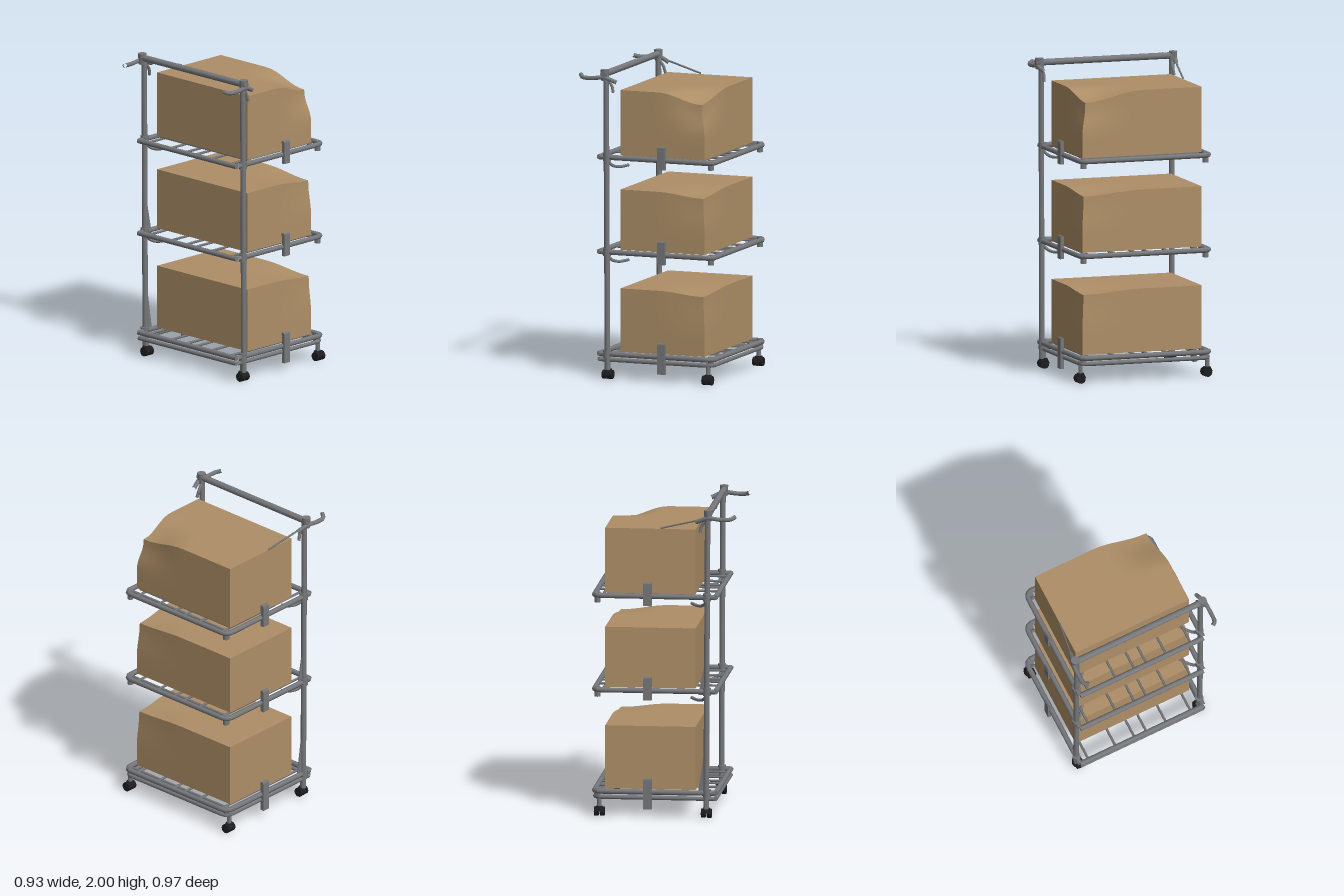
import * as THREE from 'three';

const metal = new THREE.MeshStandardMaterial({ color: 0x77787b });
metal.name = 'greyMetal';
const card = new THREE.MeshStandardMaterial({ color: 0xae8f67 });
card.name = 'cardboard';
const rubber = new THREE.MeshStandardMaterial({ color: 0x1e1e20 });
rubber.name = 'blackRubber';

const V = (x, y, z) => new THREE.Vector3(x, y, z);

function add(parent, name, geo, mat, x = 0, y = 0, z = 0) {
  const m = new THREE.Mesh(geo, mat);
  m.name = name;
  m.position.set(x, y, z);
  parent.add(m);
  return m;
}

// Straight round rod between two points
function rod(parent, name, a, b, r, sides = 10) {
  const m = add(parent, name, new THREE.CylinderGeometry(r, r, a.distanceTo(b), sides), metal);
  m.position.copy(a).add(b).multiplyScalar(0.5);
  m.quaternion.setFromUnitVectors(V(0, 1, 0), b.clone().sub(a).normalize());
  return m;
}

// Bent round rod through a few points
function bent(parent, name, pts, r) {
  const curve = new THREE.CatmullRomCurve3(pts);
  return add(parent, name, new THREE.TubeGeometry(curve, 16, r, 8), metal);
}

// U-shaped rail with rounded corners at +x, closed by a straight rail at -x
function rail(parent, y, r, inset = 0) {
  const zf = 0.432 - inset, zb = -0.447 + inset, x = 0.446 - inset, c = 0.05;
  const path = new THREE.CurvePath();
  path.add(new THREE.LineCurve3(V(-0.33, y, zf), V(x - c, y, zf)));
  path.add(new THREE.QuadraticBezierCurve3(V(x - c, y, zf), V(x, y, zf), V(x, y, zf - c)));
  path.add(new THREE.LineCurve3(V(x, y, zf - c), V(x, y, zb + c)));
  path.add(new THREE.QuadraticBezierCurve3(V(x, y, zb + c), V(x, y, zb), V(x - c, y, zb)));
  path.add(new THREE.LineCurve3(V(x - c, y, zb), V(-0.33, y, zb)));
  add(parent, 'shelfRail', new THREE.TubeGeometry(path, 90, r, 8), metal);
  rod(parent, 'shelfSideRail', V(-0.335, y, zb), V(-0.335, y, zf), r);
}

// Carton with slightly dented faces and one sagging top corner
function carton(parent, y0, y1, sag) {
  const w = 0.58, h = y1 - y0, d = 0.81;
  const geo = new THREE.BoxGeometry(w, h, d, 14, 10, 14);
  const p = geo.attributes.position;
  for (let i = 0; i < p.count; i++) {
    const u = p.getX(i) / w + 0.5, v = p.getY(i) / h + 0.5, t = p.getZ(i) / d + 0.5;
    const corner = THREE.MathUtils.smoothstep(u, 0.45, 1) * THREE.MathUtils.smoothstep(t, 0.5, 1);
    const top = THREE.MathUtils.smoothstep(v, 0.3, 1);
    p.setX(i, p.getX(i) - corner * top * sag * 0.45);
    p.setY(i, p.getY(i) - corner * top * sag);
    p.setZ(i, p.getZ(i) - corner * top * sag * 0.45);
  }
  geo.computeVertexNormals();
  add(parent, 'carton', geo, card, 0.087, (y0 + y1) / 2, -0.008);
}

function shelf(parent, y, isBase) {
  const g = new THREE.Group();
  g.name = isBase ? 'baseShelf' : 'shelf';
  parent.add(g);
  rail(g, y, 0.017);
  if (isBase) rail(g, y - 0.037, 0.014, 0.004);

  // Cross wires carrying the load
  for (const z of [-0.385, -0.19, -0.055, 0.03, 0.17, 0.345])
    rod(g, 'shelfWire', V(-0.335, y - 0.005, z), V(0.446, y - 0.005, z), 0.008, 6);
  rod(g, 'shelfLongWire', V(0.395, y - 0.008, -0.44), V(0.395, y - 0.008, 0.43), 0.009, 6);

  for (const s of [1, -1]) {
    const z = s > 0 ? 0.432 : -0.447;
    // Clip hanging over the long rail
    const cy = isBase ? y - 0.015 : y + 0.01;
    const h = isBase ? 0.19 : 0.14;
    add(g, 'clip', new THREE.BoxGeometry(0.052, h, 0.024), metal, 0.1, cy, z + s * 0.012);
    rod(g, 'clipPivot', V(0.073, cy + h / 2, z + s * 0.01), V(0.127, cy + h / 2, z + s * 0.01), 0.012, 8);
    // Corner fittings
    add(g, 'cornerSocket', new THREE.CylinderGeometry(0.02, 0.02, 0.065, 8), metal, 0.425, y - 0.015, z - s * 0.025);
    add(g, 'postCollar', new THREE.CylinderGeometry(0.026, 0.026, 0.05, 10), metal, -0.28, y, z);
    // Small hooked brace below the shelf
    if (!isBase)
      bent(g, 'brace', [V(-0.28, y - 0.02, z), V(-0.255, y - 0.055, z - s * 0.03),
        V(-0.22, y - 0.066, z - s * 0.06), V(-0.17, y - 0.057, z - s * 0.1)], 0.01);
  }
}

export function createModel() {
  const model = new THREE.Group();
  model.name = 'shelfTrolley';

  shelf(model, 1.432, false);
  shelf(model, 0.82, false);
  shelf(model, 0.162, true);

  carton(model, 1.445, 1.865, 0.07);
  carton(model, 0.833, 1.223, 0.03);
  carton(model, 0.175, 0.584, 0.025);
  add(model, 'shelfPlate', new THREE.BoxGeometry(0.56, 0.008, 0.78), metal, 0.087, 1.437, -0.008);

  // Upright posts with the push bar across the top
  for (const z of [0.437, -0.447]) {
    const s = Math.sign(z);
    rod(model, 'post', V(-0.275, 0.06, z), V(-0.285, 1.97, z), 0.018);
    add(model, 'postCap', new THREE.CylinderGeometry(0.028, 0.024, 0.07, 10), metal, -0.29, 1.965, z + s * 0.012);
    // Curved side handle
    bent(model, 'handle', [V(-0.46, 1.957, z - s * 0.005), V(-0.435, 1.945, z + s * 0.025),
      V(-0.37, 1.943, z + s * 0.03), V(-0.29, 1.95, z + s * 0.026), V(-0.21, 1.92, z + s * 0.005)], 0.014);
    bent(model, 'handleHook', [V(-0.285, 1.94, z), V(-0.25, 1.9, z - s * 0.005), V(-0.235, 1.85, z)], 0.01);
  }
  rod(model, 'pushBar', V(-0.29, 1.972, -0.475), V(-0.29, 1.972, 0.475), 0.021, 12);
  rod(model, 'strap', V(-0.25, 1.94, -0.46), V(0.02, 1.87, -0.415), 0.006, 6);

  // Thin gussets on the rear post
  for (const [y, h] of [[0.8, 0.28], [0.18, 0.36]]) {
    const tri = new THREE.Shape([new THREE.Vector2(0, 0), new THREE.Vector2(0.055, 0), new THREE.Vector2(0, h)]);
    add(model, 'gusset', new THREE.ExtrudeGeometry(tri, { depth: 0.008, bevelEnabled: false }), metal, -0.28, y, -0.447);
  }

  // Castors
  for (const x of [-0.275, 0.412]) for (const z of [0.422, -0.437]) {
    const g = new THREE.Group();
    g.name = 'castor';
    g.position.set(x, 0, z);
    model.add(g);
    for (const s of [1, -1]) {
      const wheel = add(g, 'wheel', new THREE.CylinderGeometry(0.03, 0.03, 0.028, 12), rubber, s * 0.019, 0.03, 0.006);
      wheel.rotation.z = Math.PI / 2;
    }
    add(g, 'castorHood', new THREE.CylinderGeometry(0.022, 0.036, 0.03, 10), rubber, 0, 0.05, 0);
    add(g, 'castorStem', new THREE.CylinderGeometry(0.015, 0.015, 0.08, 8), metal, 0, 0.1, 0);
  }
  return model;
}
